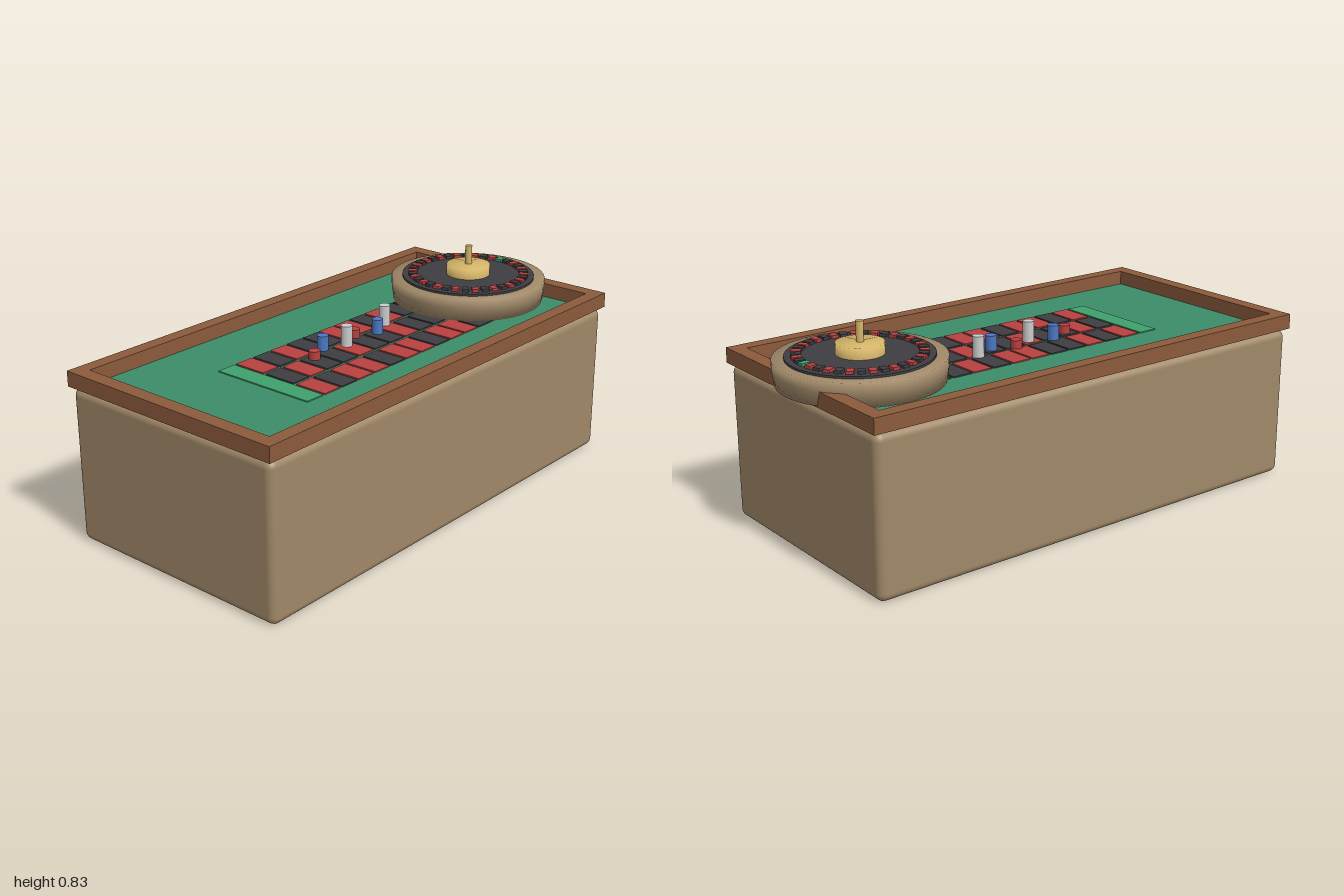
import * as THREE from 'three';
import { RoundedBoxGeometry } from 'three/addons/geometries/RoundedBoxGeometry.js';

const mat = (color) => new THREE.MeshStandardMaterial({ color });
const wood = mat(0xa08868), trim = mat(0x8b5a3c), felt = mat(0x3c8c68), zeroGreen = mat(0x3fa06c);
const red = mat(0xb84040), black = mat(0x3e3e42), brass = mat(0xd4b468);
const blue = mat(0x4a78c4), white = mat(0xe0e0e0);

function add(parent, name, geometry, material, x = 0, y = 0, z = 0) {
  const mesh = new THREE.Mesh(geometry, material);
  mesh.name = name;
  mesh.position.set(x, y, z);
  parent.add(mesh);
  return mesh;
}

function group(parent, name, x = 0, y = 0, z = 0) {
  const g = new THREE.Group();
  g.name = name;
  g.position.set(x, y, z);
  parent.add(g);
  return g;
}

const lathe = (points) => new THREE.LatheGeometry(points.map(([r, y]) => new THREE.Vector2(r, y)), 48);

// Rectangular outline centred on the origin
function rectangle(Type, w, d) {
  return new Type([[-w, -d], [w, -d], [w, d], [-w, d]].map(([x, y]) => new THREE.Vector2(x / 2, y / 2)));
}

export function createModel() {
  const model = new THREE.Group();
  model.name = 'rouletteTable';
  const cx = -0.0225;

  // Base, felt and wooden border
  add(model, 'tableBody', new RoundedBoxGeometry(1.935, 0.6, 0.966, 3, 0.03), wood, cx, 0.3, 0);
  add(model, 'feltTop', new THREE.BoxGeometry(1.87, 0.014, 0.89), felt, cx, 0.601, 0);
  const frame = rectangle(THREE.Shape, 1.955, 0.98);
  frame.holes.push(rectangle(THREE.Path, 1.84, 0.87));
  const border = new THREE.ExtrudeGeometry(frame, { depth: 0.059, bevelEnabled: false });
  border.rotateX(-Math.PI / 2);
  add(model, 'woodenBorder', border, trim, cx, 0.605, 0);

  // Betting grid
  const layout = group(model, 'bettingLayout', 0, 0.61, 0);
  const cell = new THREE.BoxGeometry(0.08, 0.005, 0.135);
  ['RBRBBRRBRBBR', 'BRBBRBBRBBRB', 'RBRRBRRBRRBR'].forEach((row, j) => {
    [...row].forEach((c, i) => {
      add(layout, 'numberCell', cell, c === 'R' ? red : black, -0.435 + 0.09 * i, 0, -0.113 + 0.149 * j);
    });
  });
  add(layout, 'zeroCell', new THREE.BoxGeometry(0.08, 0.005, 0.433), zeroGreen, -0.525, 0, 0.036);

  // Chip stacks
  const chips = group(model, 'chipStacks', 0, 0.61, 0);
  const stacks = [[red, 0.035], [blue, 0.06], [white, 0.083]];
  for (let i = 0; i < 6; i++) {
    const [material, h] = stacks[i % 3];
    add(chips, 'chipStack', new THREE.CylinderGeometry(0.022, 0.022, h, 20), material,
      -0.25 + 0.09 * i, h / 2, i % 2 ? -0.04 : 0);
  }

  // Wheel: bowl, dark rotor, hub and spindle
  const wheel = group(model, 'rouletteWheel', 0.687, 0, 0);
  add(wheel, 'wheelBowl', lathe([[0, 0.61], [0.305, 0.61], [0.312, 0.665], [0.312, 0.701], [0.25, 0.702], [0, 0.702]]), wood);
  add(wheel, 'rotor', new THREE.CylinderGeometry(0.268, 0.268, 0.01, 48), black, 0, 0.705, 0);
  add(wheel, 'hub', lathe([[0.088, 0.708], [0.088, 0.752], [0, 0.753]]), brass);
  add(wheel, 'spindle', new THREE.CylinderGeometry(0.014, 0.014, 0.078, 20), brass, 0, 0.79, 0);

  // Ring of number pockets, the green one facing +x
  const pocket = new THREE.BoxGeometry(0.036, 0.014, 0.027);
  for (let i = 0; i < 37; i++) {
    const a = (i / 37) * Math.PI * 2;
    const material = i === 0 ? zeroGreen : i % 2 ? red : black;
    const p = add(wheel, 'numberPocket', pocket, material, 0.226 * Math.cos(a), 0.714, -0.226 * Math.sin(a));
    p.rotation.y = a;
  }
  return model;
}
